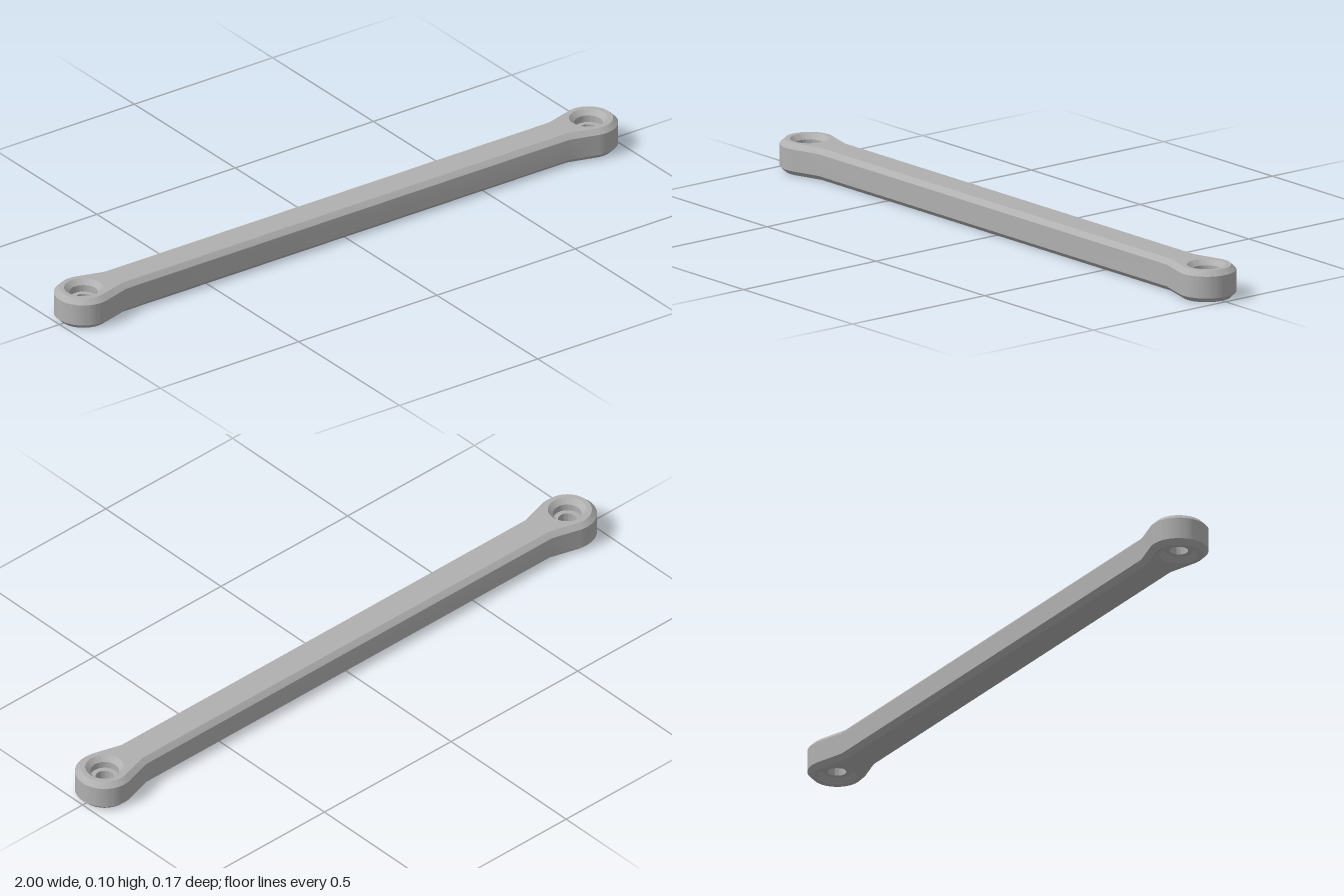
import * as THREE from 'three';
import { toCreasedNormals } from 'three/addons/utils/BufferGeometryUtils.js';

const HEIGHT = 0.096, CHAMFER = 0.015;
const EYE_X = 0.913, EYE_R = 0.087;      // end eyes
const NECK_X = 0.8, BAR_HALF = 0.058;    // straight bar
const BORE_R = 0.042, HOLE_R = 0.027;

export function createModel() {
  const model = new THREE.Group();
  model.name = 'linkBar';
  const steel = new THREE.MeshStandardMaterial({ color: 0xb0b0b0 });
  steel.name = 'grey steel';

  // Outline: straight bar, necks tangent to the round eyes
  const dx = EYE_X - NECK_X;
  const tangent = Math.PI - Math.atan2(BAR_HALF, dx) - Math.acos(EYE_R / Math.hypot(dx, BAR_HALF));
  const points = [];
  for (const turn of [0, Math.PI]) {
    const s = turn ? -1 : 1;
    points.push(new THREE.Vector2(s * NECK_X, -s * BAR_HALF));
    for (let i = 0; i <= 40; i++) {
      const a = turn - tangent + (2 * tangent * i) / 40;
      points.push(new THREE.Vector2(s * EYE_X + EYE_R * Math.cos(a), EYE_R * Math.sin(a)));
    }
    points.push(new THREE.Vector2(s * NECK_X, s * BAR_HALF));
  }
  const outline = new THREE.Shape(points);
  for (const s of [-1, 1]) {
    outline.holes.push(new THREE.Path().absarc(s * EYE_X, 0, BORE_R, 0, Math.PI * 2, true));
  }

  // Chamfered body; the chamfer also opens the bores at both faces
  const body = new THREE.ExtrudeGeometry(outline, {
    depth: HEIGHT - 2 * CHAMFER, curveSegments: 24, bevelEnabled: true,
    bevelThickness: CHAMFER, bevelSize: CHAMFER, bevelOffset: -CHAMFER, bevelSegments: 1,
  });
  body.translate(0, 0, CHAMFER).rotateX(-Math.PI / 2);
  const bar = new THREE.Mesh(toCreasedNormals(body, Math.PI / 6), steel);
  bar.name = 'bar';
  model.add(bar);

  // Recessed ring inside each eye, with the narrow through hole
  const ring = toCreasedNormals(new THREE.LatheGeometry([
    [BORE_R, CHAMFER], [BORE_R, 0.06], [HOLE_R, 0.06], [HOLE_R, CHAMFER], [BORE_R, CHAMFER],
  ].map(([r, y]) => new THREE.Vector2(r, y)), 48), Math.PI / 6);
  for (const s of [-1, 1]) {
    const mesh = new THREE.Mesh(ring, steel);
    mesh.name = s > 0 ? 'leftBoreRing' : 'rightBoreRing';
    mesh.position.x = s * EYE_X;
    model.add(mesh);
  }
  return model;
}
